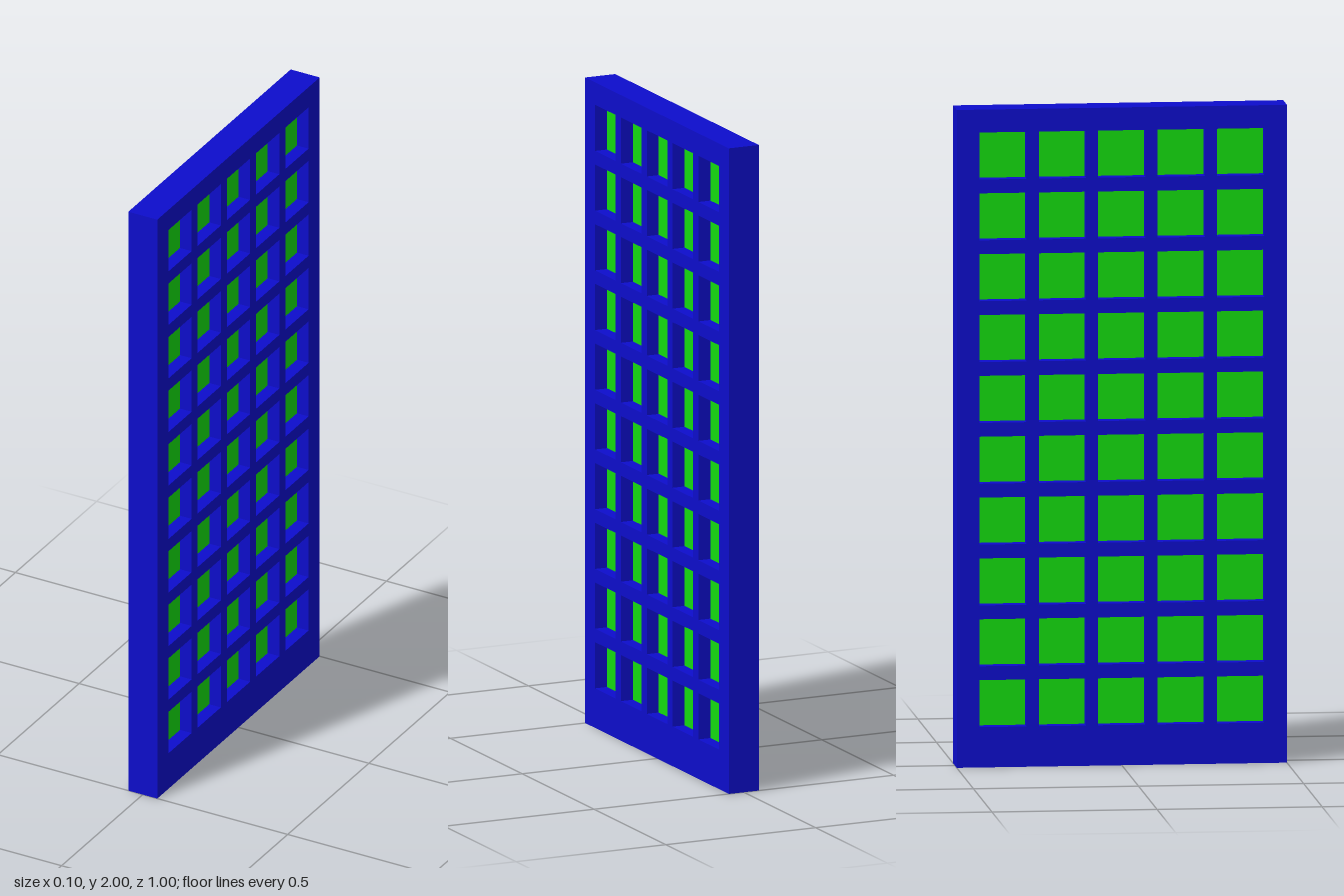
import * as THREE from 'three';

const WIDTH = 1, HEIGHT = 2, DEPTH = 0.1;
const COLS = 5, ROWS = 10;
const PANE = 0.143, PANE_DEPTH = 0.02;
const PITCH_Z = 0.18, PITCH_Y = 0.185, FIRST_Y = 0.194;

// Rectangle outline centred on (x, y)
function rectangle(path, x, y, w, h) {
  path.moveTo(x - w / 2, y - h / 2);
  path.lineTo(x + w / 2, y - h / 2);
  path.lineTo(x + w / 2, y + h / 2);
  path.lineTo(x - w / 2, y + h / 2);
  path.closePath();
  return path;
}

export function createModel() {
  const model = new THREE.Group();
  model.name = 'windowPanel';
  const blue = new THREE.MeshStandardMaterial({ color: 0x0d0dcc });
  const green = new THREE.MeshStandardMaterial({ color: 0x14dc0f });

  const outline = rectangle(new THREE.Shape(), 0, HEIGHT / 2, WIDTH, HEIGHT);
  const panes = new THREE.Group();
  panes.name = 'panes';
  const paneGeometry = new THREE.BoxGeometry(PANE_DEPTH, PANE, PANE);

  // Grid of openings, each with a pane set midway through the frame
  for (let row = 0; row < ROWS; row++) {
    for (let col = 0; col < COLS; col++) {
      const z = (col - (COLS - 1) / 2) * PITCH_Z;
      const y = FIRST_Y + row * PITCH_Y;
      outline.holes.push(rectangle(new THREE.Path(), z, y, PANE, PANE));
      const pane = new THREE.Mesh(paneGeometry, green);
      pane.name = 'pane';
      pane.position.set(0, y, z);
      panes.add(pane);
    }
  }

  // Frame pierced by the openings, turned so its broad faces look along x
  const frameGeometry = new THREE.ExtrudeGeometry(outline, { depth: DEPTH, bevelEnabled: false });
  frameGeometry.translate(0, 0, -DEPTH / 2).rotateY(Math.PI / 2);
  const frame = new THREE.Mesh(frameGeometry, blue);
  frame.name = 'frame';

  model.add(frame, panes);
  return model;
}
